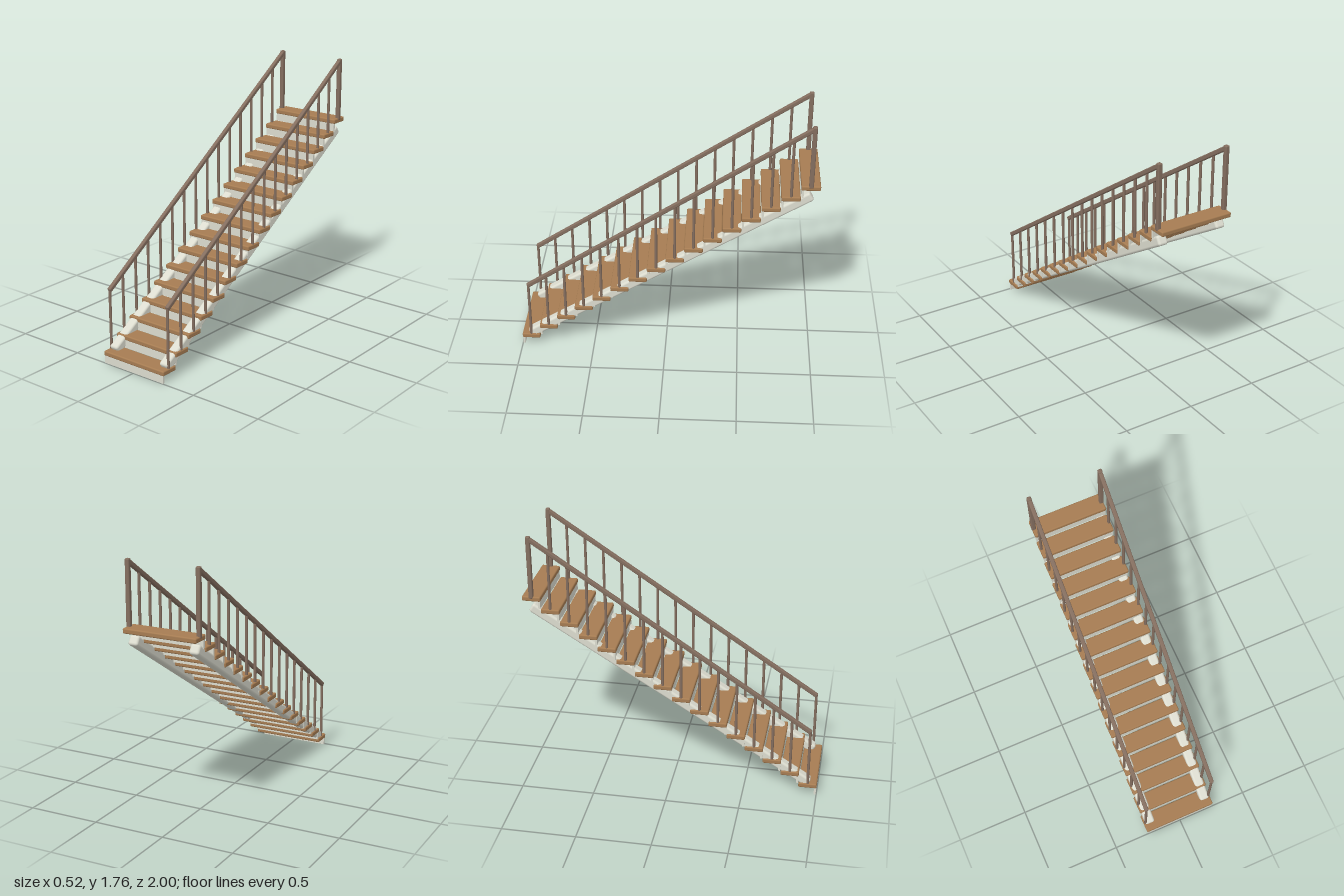
import * as THREE from 'three';
import { RoundedBoxGeometry } from 'three/addons/geometries/RoundedBoxGeometry.js';

const wood = new THREE.MeshStandardMaterial({ color: 0xa67c52 });
wood.name = 'tread wood';
const railWood = new THREE.MeshStandardMaterial({ color: 0x846e5f });
railWood.name = 'railing wood';
const paint = new THREE.MeshStandardMaterial({ color: 0xdcdccf });
paint.name = 'white paint';

const STEPS = 16;
const RUN = 0.125;
const RISE = 0.0835;
const stepZ = (i) => 0.9375 - i * RUN;
const treadY = (i) => 0.068 + i * RISE;
const THICK = 0.034;
const railY = (z) => 1.12 - z * (RISE / RUN);

function add(parent, name, geometry, material, x, y, z) {
  const mesh = new THREE.Mesh(geometry, material);
  mesh.name = name;
  mesh.position.set(x, y, z);
  parent.add(mesh);
  return mesh;
}

// Beam running up the stairs between two (y, z) ends
function slopedBeam(parent, name, material, x, [y0, z0], [y1, z1], width, depth, radius) {
  const length = Math.hypot(y1 - y0, z1 - z0);
  const beam = add(parent, name, new RoundedBoxGeometry(width, depth, length, 3, radius),
    material, x, (y0 + y1) / 2, (z0 + z1) / 2);
  beam.rotation.x = Math.atan2(y1 - y0, z0 - z1);
}

export function createModel() {
  const stairs = new THREE.Group();
  stairs.name = 'staircase';

  // Treads and the thin risers under their front edges
  const treadGeometry = new RoundedBoxGeometry(0.514, THICK, 0.125, 3, 0.009);
  for (let i = 0; i < STEPS; i++) {
    const y = treadY(i);
    add(stairs, 'tread', treadGeometry, wood, 0, y, stepZ(i));
    const top = y - THICK / 2 + 0.004;
    const bottom = i === 0 ? 0 : treadY(i - 1) + THICK / 2 - 0.004;
    add(stairs, 'riser', new THREE.BoxGeometry(0.5, top - bottom, 0.014), paint,
      0, (top + bottom) / 2, stepZ(i) + 0.0525);
  }

  for (const side of [-1, 1]) {
    // Stringer, slightly shallower than the flight
    slopedBeam(stairs, 'stringer', paint, side * 0.214, [0.08, 0.943], [1.255, -0.945],
      0.068, 0.066, 0.016);

    const railing = new THREE.Group();
    railing.name = side > 0 ? 'leftRailing' : 'rightRailing';
    stairs.add(railing);
    const x = side * 0.245;

    // Handrail
    slopedBeam(railing, 'handrail', railWood, x, [railY(0.943), 0.943], [railY(-0.94), -0.94],
      0.028, 0.03, 0.008);

    // Balusters on every tread except the top one
    for (let i = 0; i < STEPS - 1; i++) {
      const z = stepZ(i);
      const bottom = treadY(i);
      const height = railY(z) - bottom;
      add(railing, 'baluster', new THREE.CylinderGeometry(0.0095, 0.0095, height, 12), railWood,
        x, bottom + height / 2, z);
    }

    // Top newel post
    add(railing, 'newelPost', new RoundedBoxGeometry(0.03, 0.44, 0.03, 3, 0.008), railWood,
      x, 1.543, stepZ(STEPS - 1));
  }
  return stairs;
}
